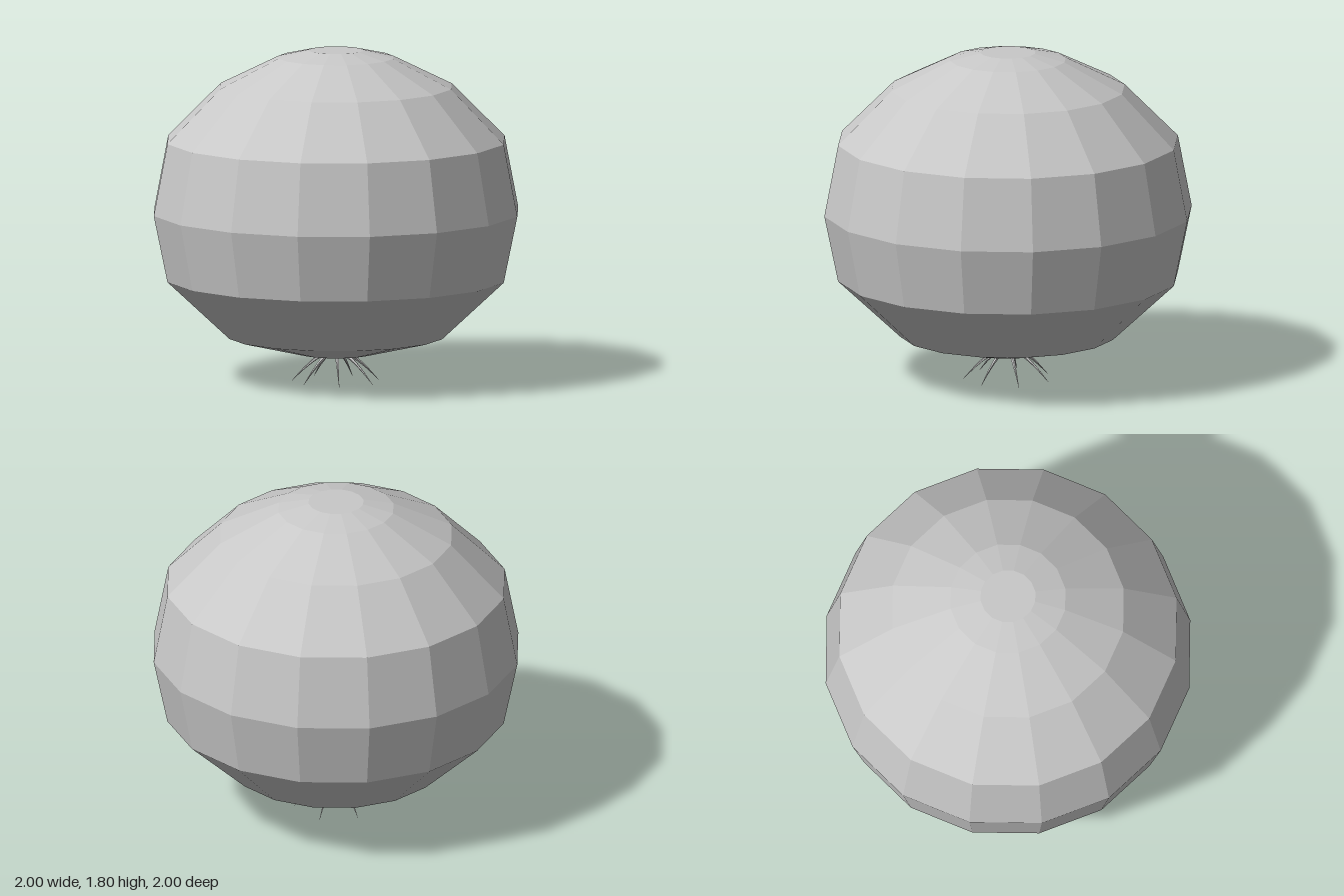
import * as THREE from 'three';

const bodyGrey = new THREE.MeshStandardMaterial({ color: 0xc8c8c8, flatShading: true });
bodyGrey.name = 'light grey';

// Tube along a path whose rings shrink towards the tip
function taperedTube(path, radius, segments, sides) {
  const geometry = new THREE.TubeGeometry(path, segments, radius, sides);
  const position = geometry.attributes.position;
  const vertex = new THREE.Vector3();
  for (let i = 0; i < position.count; i++) {
    const t = Math.floor(i / (sides + 1)) / segments;
    const centre = path.getPointAt(t);
    vertex.fromBufferAttribute(position, i).sub(centre).multiplyScalar(1 - 0.95 * t).add(centre);
    position.setXYZ(i, vertex.x, vertex.y, vertex.z);
  }
  geometry.computeVertexNormals();
  return geometry;
}

export function createModel() {
  const model = new THREE.Group();
  model.name = 'bulb';

  // Faceted round body with flat top and bottom, listed as radius, height
  const profile = [
    [0, 0.157], [0.2, 0.157], [0.585, 0.25], [0.925, 0.568], [1, 0.93],
    [0.925, 1.32], [0.635, 1.612], [0.315, 1.77], [0.15, 1.808], [0, 1.808],
  ].map(([r, y]) => new THREE.Vector2(r, y));
  const body = new THREE.Mesh(new THREE.LatheGeometry(profile, 16), bodyGrey);
  body.name = 'body';
  model.add(body);

  // Ring of seven thin roots arching out from the base
  const path = new THREE.CatmullRomCurve3([
    [0.03, 0.165], [0.083, 0.145], [0.16, 0.085], [0.24, 0.004],
  ].map(([x, y]) => new THREE.Vector3(x, y, 0)));
  const rootGeometry = taperedTube(path, 0.014, 6, 5);
  const roots = new THREE.Group();
  roots.name = 'roots';
  for (let i = 0; i < 7; i++) {
    const root = new THREE.Mesh(rootGeometry, bodyGrey);
    root.name = 'root';
    root.rotation.y = (i * Math.PI * 2) / 7;
    roots.add(root);
  }
  model.add(roots);

  return model;
}
